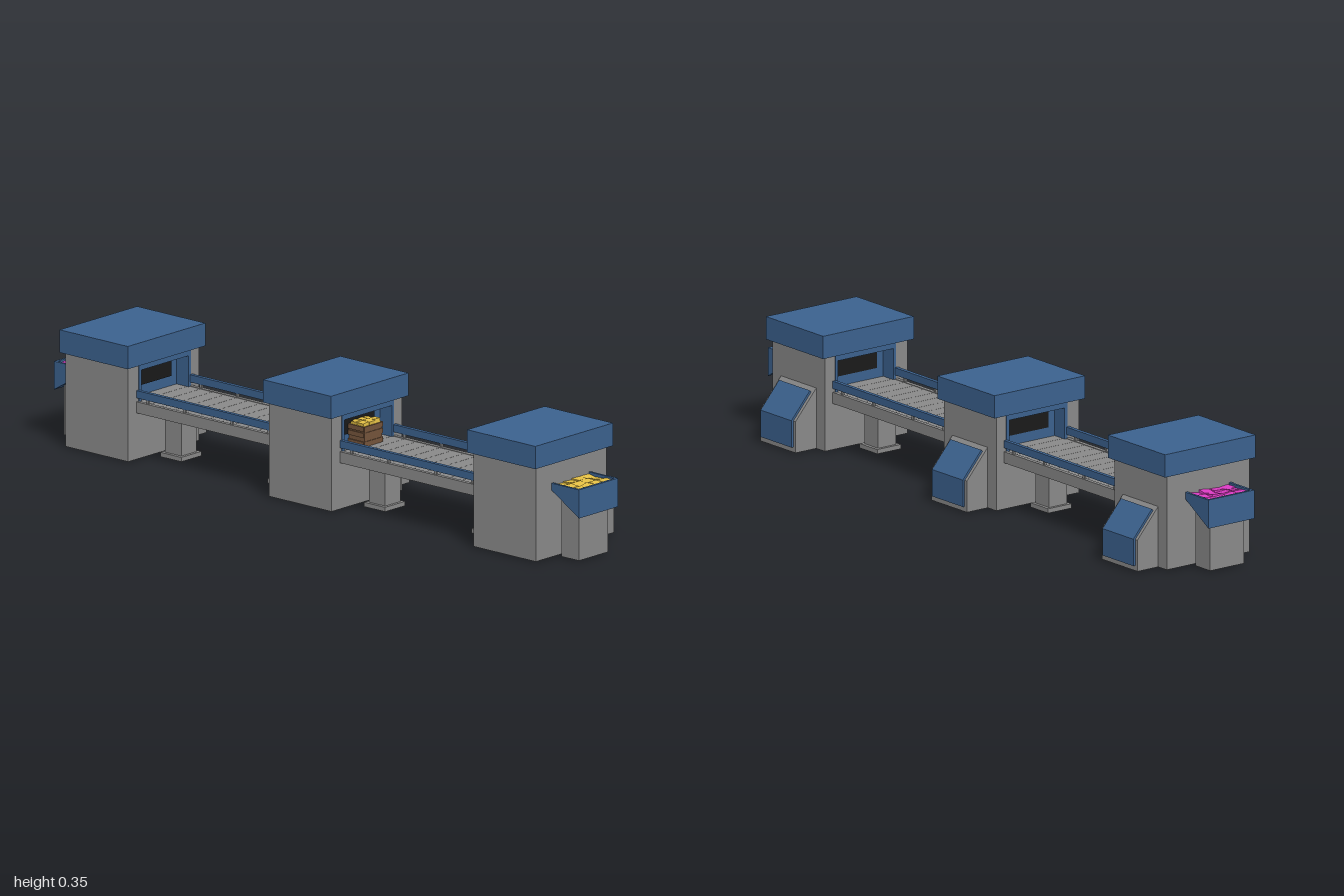
import * as THREE from 'three';

const mat = (color, side = THREE.FrontSide) => new THREE.MeshStandardMaterial({ color, side, flatShading: true });
const GREY = mat(0x8a8a8a), SHELL = mat(0x8a8a8a, THREE.DoubleSide);
const BLUE = mat(0x3c628f), DARK = mat(0x1a1a1a);
const WOOD = mat(0x75553c), GOLD = mat(0xe6c145), PINK = mat(0xdc3cc4);

function add(parent, name, geometry, material) {
  const mesh = new THREE.Mesh(geometry, material);
  mesh.name = name;
  parent.add(mesh);
  return mesh;
}

// Box given by its limits on each axis
function box(x0, x1, y0, y1, z0, z1) {
  return new THREE.BoxGeometry(x1 - x0, y1 - y0, z1 - z0)
    .translate((x0 + x1) / 2, (y0 + y1) / 2, (z0 + z1) / 2);
}

const block = (parent, name, material, ...limits) => add(parent, name, box(...limits), material);

function extrude(points, depth) {
  const shape = new THREE.Shape(points.map(([x, y]) => new THREE.Vector2(x, y)));
  return new THREE.ExtrudeGeometry(shape, { depth, bevelEnabled: false });
}

// Profile in (z, y), swept along x and centred
const sideProfile = (points, width) =>
  extrude(points, width).rotateY(-Math.PI / 2).translate(width / 2, 0, 0);

// Drops the triangles lying in the lowest plane, leaving a hollow cover
function openBottom(geometry) {
  const source = geometry.index ? geometry.toNonIndexed() : geometry;
  source.computeBoundingBox();
  const low = source.boundingBox.min.y + 1e-5, p = source.attributes.position, kept = [];
  for (let i = 0; i < p.count; i += 3) {
    if (Math.max(p.getY(i), p.getY(i + 1), p.getY(i + 2)) < low) continue;
    for (let k = i; k < i + 3; k++) kept.push(p.getX(k), p.getY(k), p.getZ(k));
  }
  const open = new THREE.BufferGeometry();
  open.setAttribute('position', new THREE.Float32BufferAttribute(kept, 3));
  open.computeVertexNormals();
  return open;
}

function seeded(seed) {
  return () => (seed = (seed * 16807) % 2147483647) / 2147483647;
}

// Bed of tilted chunks filling a rectangle
function chunks(parent, name, material, x0, x1, z0, z1, y, nx, nz, seed) {
  const rnd = seeded(seed), group = new THREE.Group();
  group.name = name;
  const dx = (x1 - x0) / nx, dz = (z1 - z0) / nz;
  for (let i = 0; i < nx; i++) for (let j = 0; j < nz; j++) {
    const chunk = add(group, 'chunk', new THREE.BoxGeometry(dx * 0.95, 0.016, dz * 0.95), material);
    chunk.position.set(x0 + (i + 0.5) * dx, y + rnd() * 0.003, z0 + (j + 0.5) * dz);
    chunk.rotation.set((rnd() - 0.5) * 0.3, (rnd() - 0.5) * 0.3, (rnd() - 0.5) * 0.3);
  }
  parent.add(group);
}

// Machine tower; sides lists the faces (+1, -1) that open onto a belt
function tower(x, sides) {
  const g = new THREE.Group();
  g.name = 'tower';
  g.position.x = x;
  const w = 0.119, deep = 0.05;
  const right = sides.includes(1) ? w - deep : w, left = sides.includes(-1) ? -w + deep : -w;
  add(g, 'lowerBody', openBottom(box(-w, w, 0.003, 0.165, -0.115, 0.184)), SHELL);
  block(g, 'frontWall', GREY, -w, w, 0.165, 0.28, 0.14, 0.184);
  block(g, 'backWall', GREY, -w, w, 0.165, 0.28, -0.115, -0.078);
  block(g, 'core', GREY, left, right, 0.165, 0.28, -0.078, 0.14);
  block(g, 'roof', BLUE, -0.13, 0.13, 0.28, 0.347, -0.13, 0.198);

  // Lined openings with a dark slot
  for (const s of sides) {
    const opening = new THREE.Group();
    opening.name = 'beltOpening';
    if (s < 0) opening.rotation.y = Math.PI;
    opening.position.z = 0.031;
    const a = w - deep, b = w + 0.002;
    block(opening, 'backPanel', BLUE, a, a + 0.006, 0.165, 0.28, -0.109, 0.109);
    block(opening, 'slot', DARK, a, a + 0.009, 0.2, 0.25, -0.075, 0.075);
    for (const m of [-1, 1])
      block(opening, 'sideLining', BLUE, a, b, 0.165, 0.28, m * 0.105 - 0.005, m * 0.105 + 0.005);
    block(opening, 'lintel', BLUE, a, b, 0.262, 0.28, -0.1, 0.1);
    g.add(opening);
  }

  // Sloped console on the back
  add(g, 'console', openBottom(sideProfile([[-0.112, 0.003], [-0.19, 0.003], [-0.19, 0.095],
    [-0.115, 0.181], [-0.112, 0.181]], 0.16)), SHELL);
  add(g, 'consolePanel', sideProfile([[-0.19, 0.018], [-0.197, 0.018], [-0.197, 0.097], [-0.13, 0.174],
    [-0.125, 0.169], [-0.19, 0.095]], 0.14), BLUE);
  return g;
}

// Belt between two towers, s = side of the centre
function conveyor(s) {
  const g = new THREE.Group();
  g.name = 'conveyor';
  g.position.x = s * 0.388;
  const half = 0.318, n = 14, pitch = 2 * half / n;
  block(g, 'bed', GREY, -half, half, 0.14, 0.169, -0.076, 0.138);
  for (let i = 0; i < n; i++) {
    const x = -half + i * pitch;
    block(g, 'slat', GREY, x + 0.0004, x + pitch - 0.0004, 0.169, 0.1705, -0.076, 0.138);
  }
  for (const z of [-0.081, 0.143]) {
    block(g, 'sideBeam', GREY, -0.272, 0.272, 0.139, 0.172, z - 0.006, z + 0.006);
    block(g, 'guardRail', BLUE, -0.272, 0.272, 0.183, 0.205, z - 0.006, z + 0.006);
    for (const x of [-0.23, -0.09, 0.09, 0.23])
      block(g, 'railPost', GREY, x - 0.004, x + 0.004, 0.17, 0.185, z - 0.003, z + 0.003);
  }
  for (const x of [-0.204, 0.204]) {
    block(g, 'foot', GREY, x - 0.04, x + 0.04, 0, 0.013, -0.009, 0.076);
    block(g, 'leg', GREY, x - 0.031, x + 0.031, 0.012, 0.135, 0.001, 0.066);
    block(g, 'legCap', GREY, x - 0.036, x + 0.036, 0.133, 0.142, -0.004, 0.071);
  }
  return g;
}

// Wedge hopper on its post, built for the +x end
function hopper(material, seed) {
  const g = new THREE.Group();
  g.name = 'hopper';
  const post = extrude([[0.913, 0.003], [0.979, 0.003], [0.979, 0.152], [0.913, 0.192]], 0.122);
  add(g, 'hopperPost', openBottom(post), SHELL).position.z = -0.027;
  add(g, 'hopperWedge', extrude([[0.89, 0.203], [1, 0.136], [1, 0.205], [0.89, 0.205]], 0.166), BLUE).position.z = -0.048;
  block(g, 'outerRim', BLUE, 0.992, 1, 0.2, 0.22, -0.048, 0.118);
  block(g, 'backRim', BLUE, 0.89, 0.995, 0.2, 0.22, -0.048, -0.04);
  block(g, 'frontRim', BLUE, 0.89, 0.995, 0.2, 0.22, 0.11, 0.118);
  block(g, 'fillBase', material, 0.89, 0.992, 0.204, 0.21, -0.04, 0.11);
  chunks(g, 'hopperFill', material, 0.893, 0.991, -0.039, 0.109, 0.205, 3, 4, seed);
  return g;
}

// Filled crate leaving the centre tower
function crate() {
  const g = new THREE.Group();
  g.name = 'crate';
  const [x0, x1, z0, z1] = [0.076, 0.135, -0.012, 0.067];
  block(g, 'crateBody', WOOD, x0, x1, 0.17, 0.222, z0 + 0.002, z1 - 0.002);
  for (const y of [0.172, 0.198, 0.216]) {
    for (const x of [x0, x1]) block(g, 'endBoard', WOOD, x - 0.002, x + 0.002, y, y + 0.014, z0, z1);
    for (const z of [z0, z1]) block(g, 'sideBoard', WOOD, x0, x1, y, y + 0.014, z - 0.002, z + 0.002);
  }
  chunks(g, 'crateFill', GOLD, x0 + 0.004, x1 - 0.004, z0 + 0.004, z1 - 0.004, 0.23, 2, 3, 77);
  return g;
}

export function createModel() {
  const model = new THREE.Group();
  model.name = 'productionLine';
  model.add(tower(-0.776, [1]), tower(-0.002, [-1, 1]), tower(0.776, [-1]));
  model.add(conveyor(-1), conveyor(1), crate());

  // The far hopper is turned half round and shifted to line up in z
  const outlet = hopper(GOLD, 11);
  const inlet = hopper(PINK, 29);
  inlet.rotation.y = Math.PI;
  inlet.position.z = 0.07;
  model.add(outlet, inlet);
  return model;
}
